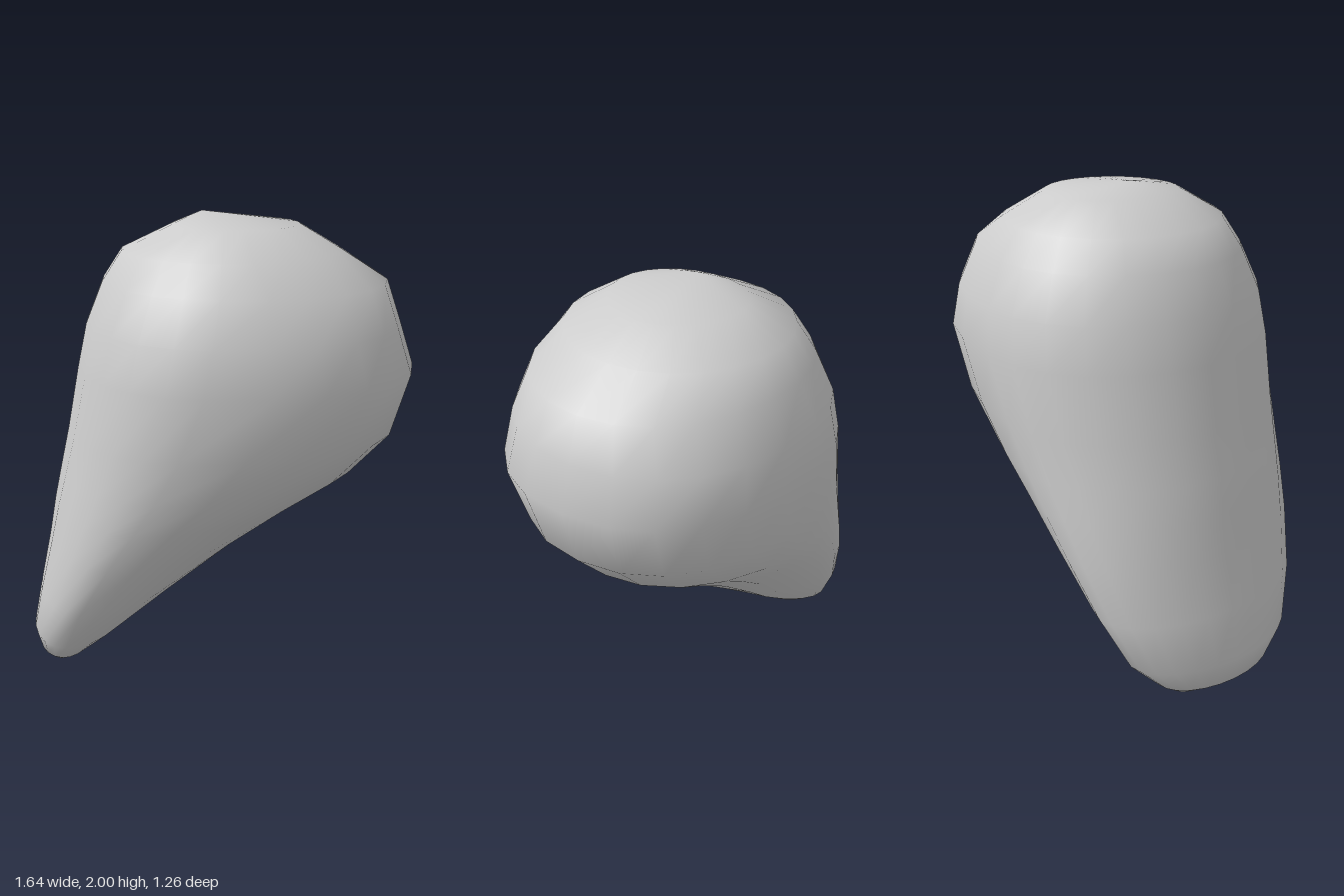
import * as THREE from 'three';
import { toCreasedNormals } from 'three/addons/utils/BufferGeometryUtils.js';

// Horizontal cross-sections: height, left x, widest x, right x, half depth, right-side fullness
const SECTIONS = [
  [0.03, -0.74, -0.69, -0.64, 0.20, 2.0],
  [0.08, -0.81, -0.66, -0.54, 0.28, 1.9],
  [0.19, -0.825, -0.62, -0.40, 0.39, 1.8],
  [0.40, -0.78, -0.53, -0.14, 0.48, 1.7],
  [0.63, -0.73, -0.40, 0.15, 0.54, 1.7],
  [0.80, -0.70, -0.29, 0.39, 0.57, 1.8],
  [0.94, -0.67, -0.20, 0.59, 0.59, 2.0],
  [1.12, -0.63, -0.10, 0.75, 0.61, 2.2],
  [1.38, -0.58, 0.00, 0.82, 0.63, 2.3],
  [1.56, -0.54, 0.03, 0.76, 0.605, 2.2],
  [1.73, -0.47, 0.05, 0.70, 0.53, 2.1],
  [1.85, -0.39, 0.05, 0.51, 0.45, 2.0],
  [1.95, -0.18, 0.05, 0.34, 0.28, 2.0],
];
const SIDES = 24;

function loft(sections, bottom, top) {
  const points = [];
  const index = [];
  for (const [y, left, mid, right, depth, fullness] of sections) {
    for (let j = 0; j < SIDES; j++) {
      const a = (j / SIDES) * Math.PI * 2;
      const c = Math.cos(a), s = Math.sin(a);
      const power = 2 / (c > 0 ? fullness : 2);
      const reach = c > 0 ? right - mid : mid - left;
      const x = mid + Math.sign(c) * Math.abs(c) ** power * reach;
      const z = Math.sign(s) * Math.abs(s) ** power * depth;
      points.push(x, y, z);
    }
  }
  const last = (sections.length - 1) * SIDES;
  const bottomId = sections.length * SIDES;
  points.push(...bottom, ...top);
  for (let j = 0; j < SIDES; j++) {
    const k = (j + 1) % SIDES;
    index.push(bottomId, j, k);
    index.push(bottomId + 1, last + k, last + j);
    for (let r = 0; r < last; r += SIDES) {
      index.push(r + j, r + SIDES + j, r + k);
      index.push(r + k, r + SIDES + j, r + SIDES + k);
    }
  }
  const geometry = new THREE.BufferGeometry();
  geometry.setAttribute('position', new THREE.Float32BufferAttribute(points, 3));
  geometry.setIndex(index);
  return toCreasedNormals(geometry, 0.9);
}

export function createModel() {
  const group = new THREE.Group();
  group.name = 'leaningClub';
  // Rounded head narrowing to a flattened, leaning foot
  const body = new THREE.Mesh(
    loft(SECTIONS, [-0.69, 0, 0], [-0.06, 2, 0]),
    new THREE.MeshStandardMaterial({ color: 0xcccccc })
  );
  body.name = 'body';
  group.add(body);
  return group;
}
